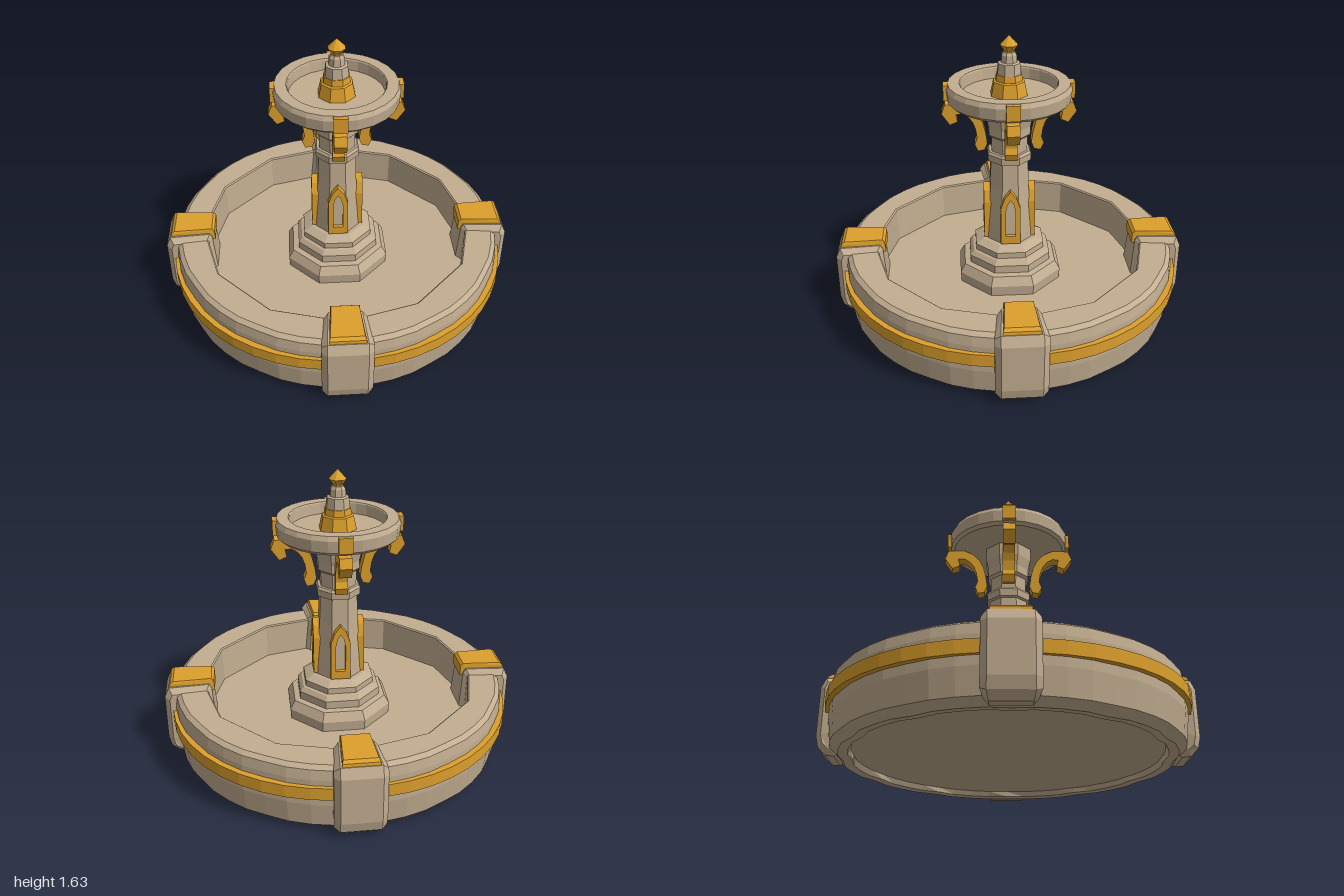
import * as THREE from 'three';

const stone = new THREE.MeshStandardMaterial({ color: 0xc2ad90 });
stone.name = 'stone';
const gold = new THREE.MeshStandardMaterial({ color: 0xdc9f2c });
gold.name = 'gold';

// Faceted mesh: unshared corners give every face its own normal
function part(name, geometry, material, parent) {
  const g = geometry.index ? geometry.toNonIndexed() : geometry;
  g.computeVertexNormals();
  const mesh = new THREE.Mesh(g, material);
  mesh.name = name;
  parent.add(mesh);
  return mesh;
}

const vectors = (pts) => pts.map(([x, y]) => new THREE.Vector2(x, y));

function lathe(pts, sides) {
  return new THREE.LatheGeometry(vectors(pts), sides);
}

// Eight-sided turning with flat sides on the axes; radii are measured to the flats
function octagon(pts) {
  const k = 1 / Math.cos(Math.PI / 8);
  return new THREE.LatheGeometry(vectors(pts.map(([r, y]) => [r * k, y])), 8, Math.PI / 8);
}

// Move every vertex by a rule
function reshape(geometry, rule) {
  const p = geometry.attributes.position;
  const v = new THREE.Vector3();
  for (let i = 0; i < p.count; i++) {
    v.fromBufferAttribute(p, i);
    rule(v);
    p.setXYZ(i, v.x, v.y, v.z);
  }
  return geometry;
}

function extrude(shape, depth, bevel = 0) {
  return new THREE.ExtrudeGeometry(shape, {
    depth, bevelEnabled: bevel > 0, bevelSize: bevel, bevelThickness: bevel,
    bevelOffset: -bevel, bevelSegments: 1, curveSegments: 4,
  });
}

function pointedArch(w, bottom, shoulder, top) {
  return vectors([[-w, bottom], [w, bottom], [w, shoulder], [w * 0.6, (shoulder + top) / 2 + 0.012],
    [0, top], [-w * 0.6, (shoulder + top) / 2 + 0.012], [-w, shoulder]]);
}

function buildBasin(model) {
  // Rim, floor and recessed underside in one turning
  const basin = lathe([[0, 0.04], [0.82, 0.04], [0.835, 0.012], [0.885, 0.008], [0.93, 0.045],
    [0.948, 0.18], [0.948, 0.33], [0.94, 0.385], [0.915, 0.403], [0.77, 0.403], [0.762, 0.396],
    [0.758, 0.19], [0, 0.19]], 48);
  // Twelve stones: straight on the inside, pinched at the joints on the outside
  reshape(basin, (v) => {
    const r = Math.hypot(v.x, v.z);
    if (r < 0.7) return;
    const a = Math.atan2(v.x, v.z) / (Math.PI / 6);
    const fromMiddle = (a - Math.floor(a) - 0.5) * Math.PI / 6;
    const joint = Math.max(0, Math.cos(2 * Math.PI * a));
    const k = r < 0.8 ? 0.995 / Math.cos(fromMiddle) : 1 - (v.y < 0.03 ? 0.02 : 0.006) * joint;
    v.x *= k;
    v.z *= k;
  });
  part('basin', basin, stone, model);
  // Band that stands out most midway between the piers
  const band = lathe([[0.93, 0.228], [0.962, 0.228], [0.962, 0.298], [0.93, 0.298]], 48);
  reshape(band, (v) => {
    const k = 1 + 0.017 * Math.abs(Math.sin(2 * Math.atan2(v.x, v.z)));
    v.x *= k;
    v.z *= k;
  });
  part('basinBand', band, gold, model);
}

function buildPier(parent) {
  // Chamfered block straddling the rim, rounded under at the foot, narrower toward the basin
  const side = new THREE.Shape(vectors([[0.715, 0.15], [0.9, 0.008], [0.945, 0.012], [0.985, 0.05],
    [1, 0.11], [1, 0.375], [0.975, 0.43], [0.75, 0.43], [0.735, 0.405]]));
  const block = extrude(side, 0.21, 0.03);
  block.translate(0, 0, -0.105).rotateY(-Math.PI / 2);
  reshape(block, (v) => {
    v.x *= 0.84 + 0.17 * THREE.MathUtils.clamp((v.z - 0.74) / 0.2, 0, 1);
    if (v.y < 0.05) v.x *= 0.92;
    else if (v.y < 0.25 && v.z < 0.8) v.x *= 1.15;
  });
  part('pier', block, stone, parent);

  // Tapered cap that folds down on the inside
  const cap = extrude(new THREE.Shape(vectors([[0.718, 0.385], [0.745, 0.385], [0.755, 0.425],
    [0.972, 0.425], [0.968, 0.447], [0.95, 0.46], [0.735, 0.46], [0.72, 0.445]])), 0.18);
  cap.translate(0, 0, -0.09).rotateY(-Math.PI / 2);
  reshape(cap, (v) => { v.x *= (0.88 + 0.18 * (v.z - 0.72) / 0.25) * (v.y > 0.455 ? 0.93 : 1); });
  part('pierCap', cap, gold, parent);
}

function buildColumn(model) {
  part('steppedBase', octagon([[0.285, 0.18], [0.29, 0.25], [0.262, 0.3], [0.23, 0.305], [0.23, 0.35],
    [0.21, 0.375], [0.195, 0.38], [0.195, 0.415], [0.15, 0.44], [0, 0.44]]), stone, model);
  part('column', octagon([[0.128, 0.43], [0.122, 0.55], [0.108, 0.78], [0.104, 0.93]]), stone, model);
  part('columnCollar', octagon([[0.1, 0.922], [0.118, 0.93], [0.121, 0.97], [0.112, 0.985], [0.08, 0.987]]),
    stone, model);
  part('columnCapital', octagon([[0.098, 0.98], [0.1, 1.07], [0.114, 1.085], [0.114, 1.13],
    [0.128, 1.19], [0.13, 1.28]]), stone, model);
}

function buildArchFrame(parent) {
  // Pointed frame around a recess in the column
  const frame = new THREE.Shape(pointedArch(0.056, 0.447, 0.67, 0.778));
  frame.holes.push(new THREE.Path(pointedArch(0.028, 0.495, 0.65, 0.725)));
  const g = extrude(frame, 0.05);
  g.translate(0, 0, 0.096);
  part('archFrame', g, gold, parent);
}

function buildBracket(parent) {
  // Scroll: curled tip under the bowl, arched arm, curled foot on the column
  const s = new THREE.Shape();
  s.moveTo(0.255, 1.262);
  s.lineTo(0.35, 1.262);
  s.lineTo(0.37, 1.21);
  s.lineTo(0.325, 1.145);
  s.lineTo(0.283, 1.163);
  s.lineTo(0.292, 1.207);
  s.lineTo(0.255, 1.208);
  s.quadraticCurveTo(0.185, 1.18, 0.178, 1.06);
  s.lineTo(0.192, 1.025);
  s.lineTo(0.175, 0.985);
  s.lineTo(0.138, 0.992);
  s.lineTo(0.122, 1.03);
  s.lineTo(0.13, 1.09);
  s.quadraticCurveTo(0.15, 1.23, 0.255, 1.262);
  const g = extrude(s, 0.068);
  g.translate(0, 0, -0.034).rotateY(-Math.PI / 2);
  part('scrollBracket', g, gold, parent);
  // Clip set into the side of the bowl
  const clip = new THREE.BoxGeometry(0.074, 0.085, 0.03);
  part('bowlClip', clip.translate(0, 1.33, 0.342), gold, parent);
}

function buildBowl(model) {
  part('upperBowl', lathe([[0.12, 1.262], [0.32, 1.268], [0.338, 1.285], [0.345, 1.35], [0.333, 1.375],
    [0.27, 1.375], [0.265, 1.368], [0.262, 1.308], [0, 1.308]], 24), stone, model);
  part('finialBase', octagon([[0.1, 1.3], [0.092, 1.34], [0.083, 1.385], [0.072, 1.39], [0.068, 1.425], [0, 1.425]]),
    gold, model);
  part('finialStem', octagon([[0.064, 1.42], [0.058, 1.485], [0.043, 1.49], [0.04, 1.53], [0.03, 1.545], [0, 1.545]]),
    stone, model);
  part('finialTip', octagon([[0.022, 1.535], [0.024, 1.55], [0.046, 1.583], [0, 1.635]]), gold, model);
}

export function createModel() {
  const model = new THREE.Group();
  model.name = 'fountain';
  buildBasin(model);
  buildColumn(model);
  buildBowl(model);
  // Everything that repeats on the four sides
  for (let i = 0; i < 4; i++) {
    const side = new THREE.Group();
    side.name = ['front', 'left', 'back', 'right'][i] + 'Ornaments';
    side.rotation.y = i * Math.PI / 2;
    buildPier(side);
    buildArchFrame(side);
    buildBracket(side);
    model.add(side);
  }
  return model;
}
